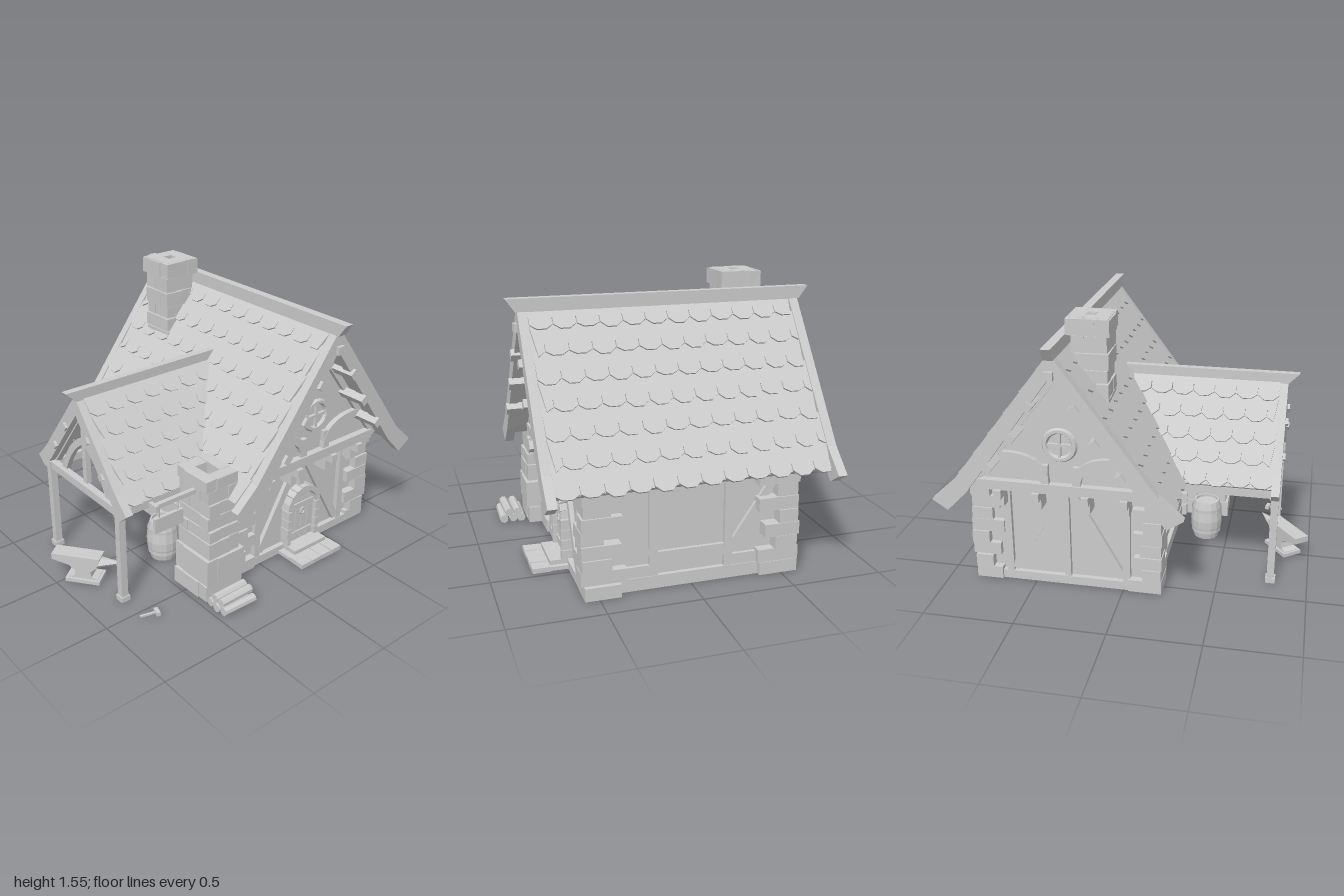
import * as THREE from 'three';

const mat = new THREE.MeshStandardMaterial({ color: 0xcccccc, flatShading: true, side: THREE.DoubleSide });
let seed = 7;
const rnd = (a) => { seed = (seed * 16807) % 2147483647; return (seed / 2147483647 - 0.5) * 2 * a; };

function add(parent, name, geo, x = 0, y = 0, z = 0) {
  const m = new THREE.Mesh(geo, mat);
  m.name = name;
  m.position.set(x, y, z);
  parent.add(m);
  return m;
}
function group(parent, name, x = 0, y = 0, z = 0) {
  const g = new THREE.Group();
  g.name = name;
  g.position.set(x, y, z);
  parent.add(g);
  return g;
}
const box = (p, n, w, h, d, x, y, z) => add(p, n, new THREE.BoxGeometry(w, h, d), x, y, z);
// straight timber lying in an upright plane at depth z
function timber(p, n, x1, y1, x2, y2, w, t, z) {
  const m = box(p, n, Math.hypot(x2 - x1, y2 - y1), w, t, (x1 + x2) / 2, (y1 + y2) / 2, z);
  m.rotation.z = Math.atan2(y2 - y1, x2 - x1);
  return m;
}
function slab(p, n, pts, depth, z) {
  const s = new THREE.Shape(pts.map(([x, y]) => new THREE.Vector2(x, y)));
  return add(p, n, new THREE.ExtrudeGeometry(s, { depth, bevelEnabled: false }), 0, 0, z);
}
const mirrored = (half) => [...half, ...half.filter(([x]) => x > 0).reverse().map(([x, y]) => [-x, y])];
// closed inverted V: outer half from the apex down, inner half from the eave up
const gableBand = (outer, inner) => [...outer, ...inner,
  ...[...inner].reverse().filter(([x]) => x > 0).map(([x, y]) => [-x, y]),
  ...[...outer].reverse().filter(([x]) => x > 0).map(([x, y]) => [-x, y])];
// curved timber following a quadratic arc
function curvedTimber(p, n, a, b, c, w, t, z) {
  const pts = new THREE.QuadraticBezierCurve(new THREE.Vector2(...a), new THREE.Vector2(...b), new THREE.Vector2(...c));
  const side = (k) => [...Array(9).keys()].map((i) => {
    const q = pts.getPoint(i / 8), d = pts.getTangent(i / 8);
    return [q.x - d.y * k, q.y + d.x * k];
  });
  return slab(p, n, [...side(w / 2), ...side(-w / 2).reverse()], t, z);
}

// one course of shingles with chamfered lower corners and thin slots between tiles
function shingleRow(len, h, pitch, offset) {
  const s = new THREE.Shape(), L = len / 2, u = (x) => Math.max(-L, Math.min(L, x));
  s.moveTo(L, h);
  s.lineTo(-L, h);
  for (let x = -L - offset; x < L - 0.004; x += pitch) {
    const j = rnd(0.006);
    for (const [f, v] of [[0.015, 0.065], [0.02, 0.026], [0.3, j], [0.7, j], [0.98, 0.026], [0.985, 0.065]])
      if (x + f * pitch > -L && x + f * pitch < L) s.lineTo(u(x + f * pitch), v);
  }
  return new THREE.ExtrudeGeometry(s, { depth: 0.014, bevelEnabled: false });
}
// shingles on the +x slope of a roof running along z; apex height, rise per run
function shingles(p, o) {
  for (let i = 0; i < o.rows; i++) {
    const y = o.y0 + i * o.step, h = Math.min(o.step * 1.2, o.apex - y), n = new THREE.Vector2(o.slope, 1).normalize();
    const at = (yy, lift) => new THREE.Vector3((o.apex - yy) / o.slope + n.x * lift, yy + n.y * lift, 0);
    const b = at(y, 0.014), t = at(y + h, 0.002), v = t.clone().sub(b), len = v.length();
    v.normalize();
    const w = new THREE.Vector3(0, 0, -1), out = new THREE.Vector3().crossVectors(w, v);
    const [z0, z1] = o.span(y + h / 2);
    const m = add(p, 'shingleRow', shingleRow(z1 - z0, len, o.pitch, (i % 2) * o.pitch / 2));
    m.quaternion.setFromRotationMatrix(new THREE.Matrix4().makeBasis(w, v, out));
    m.position.copy(b).setZ((z0 + z1) / 2);
  }
}
// hollow stack of four interlocking stones per course
function stoneStack(p, name, x, z, courses) {
  const g = group(p, name, x, 0, z);
  let y = courses.y;
  courses.list.forEach(([h, w, d, dx = 0], i) => {
    const t = 0.07, f = i % 2 ? 1 : -1;
    for (const s of [-1, 1]) {
      const a = box(g, 'stone', w - t, h - 0.006, t, dx + s * f * t / 2 + rnd(0.005), y + h / 2, s * (d - t) / 2 + rnd(0.006));
      const b = box(g, 'stone', t, h - 0.004, d - t, dx + s * (w - t) / 2 + rnd(0.006), y + h / 2, -s * f * t / 2 + rnd(0.005));
      a.rotation.y = rnd(0.03); b.rotation.y = rnd(0.03); a.rotation.z = rnd(0.02);
    }
    y += h;
  });
}

// timber framing of one gable end, facing local +z
function gableEnd(p, name, hasDoor) {
  const g = group(p, name), zw = 0.555, zg = 0.64;
  box(g, 'sill', 0.9, 0.05, 0.04, 0, 0.025, zw);
  box(g, 'jettyBeam', 0.92, 0.055, 0.06, 0, 0.628, zg);
  box(g, 'centrePost', 0.035, hasDoor ? 0.2 : 0.56, 0.035, 0, hasDoor ? 0.49 : 0.32, zw);
  for (const s of [-1, 1]) {
    box(g, 'wallPost', 0.04, 0.56, 0.035, s * 0.335, 0.32, zw);
    timber(g, 'wallBrace', s * 0.03, 0.57, s * 0.31, 0.07, 0.045, 0.03, zw);
    curvedTimber(g, 'curvedBrace', [s * 0.085, 0.65], [s * 0.085, 0.81], [s * 0.33, 0.8], 0.045, 0.035, 0.625);
    box(g, 'gablePost', 0.035, 0.12, 0.03, s * 0.085, 0.7, 0.642);
    timber(g, 'gableRafter', s * 0.5, 0.62, 0, 1.285, 0.05, 0.03, 0.642);
    for (const x of [0.135, 0.345]) {
      box(g, 'joistEnd', 0.04, 0.05, 0.16, s * x, 0.578, 0.61);
      box(g, 'joistBracket', 0.035, 0.07, 0.09, s * x, 0.52, 0.59);
    }
    for (const [x, y] of [[0.12, 1.135], [0.22, 0.955], [0.35, 0.78]])
      box(g, 'purlinEnd', 0.045, 0.045, 0.22, s * x, y, 0.69).rotation.z = -s * 0.93;
  }
  box(g, 'ridgePurlinEnd', 0.045, 0.045, 0.22, 0, 1.305, 0.69);
  // round window
  add(g, 'windowFrame', new THREE.TorusGeometry(0.08, 0.017, 6, 24), 0, 0.88, 0.645);
  add(g, 'windowPane', new THREE.CircleGeometry(0.08, 24), 0, 0.88, 0.637);
  box(g, 'windowBar', 0.15, 0.014, 0.02, 0, 0.88, 0.645);
  box(g, 'windowBar', 0.014, 0.15, 0.02, 0, 0.88, 0.645);
  if (!hasDoor) return g;
  // arched door with stone surround and steps
  const d = new THREE.Shape();
  d.moveTo(-0.095, 0.04); d.lineTo(0.095, 0.04); d.lineTo(0.095, 0.27); d.absarc(0, 0.27, 0.095, 0, Math.PI);
  add(g, 'door', new THREE.ExtrudeGeometry(d, { depth: 0.04, bevelEnabled: false }), 0, 0, 0.54);
  for (const x of [-0.047, 0, 0.047]) box(g, 'doorPlankSeam', 0.004, 0.28, 0.006, x, 0.19, 0.581);
  for (const y of [0.1, 0.29]) box(g, 'doorHinge', 0.17, 0.018, 0.01, 0, y, 0.584);
  add(g, 'doorRing', new THREE.TorusGeometry(0.018, 0.005, 6, 14), 0, 0.24, 0.59);
  for (const s of [-1, 1]) for (let i = 0; i < 4; i++)
    box(g, 'jambStone', 0.028 + rnd(0.004), 0.055, 0.07, s * 0.11, 0.07 + i * 0.058, 0.57);
  for (let i = 0; i < 9; i++) {
    const a = (i + 0.5) / 9 * Math.PI;
    box(g, 'archStone', 0.03 + rnd(0.004), 0.04, 0.07, Math.cos(a) * 0.111, 0.28 + Math.sin(a) * 0.111, 0.57).rotation.z = a;
  }
  for (let i = 0; i < 4; i++) for (let j = 0; j < 2; j++)
    box(g, 'stepStone', 0.076, 0.024 + rnd(0.004), 0.1, -0.13 + i * 0.081 + rnd(0.006), 0.012, 0.62 + j * 0.1).rotation.y = rnd(0.04);
  box(g, 'upperStep', 0.25, 0.025, 0.1, 0, 0.036, 0.62);
  return g;
}
// timber framing of one long wall, facing local +z
function longWall(p, name) {
  const g = group(p, name);
  box(g, 'sill', 0.9, 0.07, 0.04, 0, 0.035, 0.48);
  box(g, 'rail', 0.4, 0.065, 0.03, 0, 0.165, 0.48);
  box(g, 'wallPlate', 1.1, 0.05, 0.04, 0, 0.56, 0.48);
  for (const s of [-1, 1]) {
    box(g, 'wallPost', 0.045, 0.5, 0.035, s * 0.205, 0.31, 0.48);
    timber(g, 'wallBrace', s * 0.23, 0.18, s * 0.47, 0.54, 0.045, 0.03, 0.48);
    box(g, 'lowerRail', 0.2, 0.06, 0.03, s * 0.31, 0.1, 0.48);
  }
  return g;
}

export function createModel() {
  const root = new THREE.Group();
  root.name = 'timberFramedForgeHouse';
  const house = group(root, 'house', 0.316);

  // walls
  box(house, 'groundFloor', 0.95, 0.62, 1.09, 0, 0.31, 0);
  slab(house, 'gableStorey', mirrored([[0, 1.31], [0.52, 0.6]]), 1.26, -0.63);
  gableEnd(house, 'frontGable', true);
  gableEnd(house, 'backGable', false).rotation.y = Math.PI;
  longWall(house, 'leftWallFrame').rotation.y = Math.PI / 2;
  longWall(house, 'rightWallFrame').rotation.y = -Math.PI / 2;
  // corner stones, alternating long and short
  for (const sx of [-1, 1]) for (const sz of [-1, 1]) for (let i = 0; i < 8; i++) {
    const w = (i % 2 ? 0.1 : 0.17) + rnd(0.02), d = (i % 2 ? 0.22 : 0.13) + rnd(0.025) + (i ? 0 : 0.08);
    box(house, 'cornerStone', w, 0.071, d, sx * (0.535 + rnd(0.012) - w / 2), 0.0365 + i * 0.073, sz * (0.585 + rnd(0.01) - d / 2));
  }

  // main roof
  const band = gableBand([[0, 1.42], [0.545, 0.69], [0.676, 0.57]], [[0.59, 0.513], [0.48, 0.625], [0, 1.295]]);
  for (const z of [-0.78, 0.73]) slab(house, 'bargeBoard', band, 0.05, z);
  slab(house, 'roofDeck', gableBand([[0, 1.385], [0.595, 0.59]], [[0.57, 0.57], [0.5, 0.63], [0, 1.31]]), 1.48, -0.74);
  slab(house, 'ridgeCap', [[-0.84, 1.455], [-0.79, 1.385], [0.79, 1.385], [0.84, 1.455]], 0.05, -0.025).rotation.y = Math.PI / 2;
  house.getObjectByName('ridgeCap').position.set(-0.025, 0, 0);
  for (const s of [0, Math.PI]) {
    const g = group(house, 'roofShingles');
    g.rotation.y = s;
    shingles(g, { rows: 7, y0: 0.57, step: 0.12, apex: 1.385, slope: 1.335, pitch: 0.123, span: () => [-0.73, 0.73] });
  }
  stoneStack(root, 'chimney', 0.165, -0.465, { y: 0.9, list: [[0.1, 0.19, 0.2], [0.12, 0.19, 0.2], [0.08, 0.18, 0.2],
    [0.07, 0.17, 0.19], [0.09, 0.18, 0.2, -0.005], [0.09, 0.19, 0.2, 0.005], [0.09, 0.22, 0.235, 0.008], [0.003 + 0.002, 0.2, 0.2, 0.008]] });
  stoneStack(root, 'chimneyTop', 0.173, -0.465, { y: 1.455, list: [[0.088, 0.22, 0.235]] });

  // open side wing, built with its ridge along local z and turned to point to -x
  const wing = group(root, 'sideWing', 0, 0, 0.015);
  wing.rotation.y = -Math.PI / 2;
  slab(wing, 'wingBargeBoard', gableBand([[0, 1.095], [0.345, 0.665], [0.435, 0.575]], [[0.375, 0.52], [0.3, 0.6], [0, 0.985]]), 0.045, 0.775);
  slab(wing, 'wingRoofDeck', gableBand([[0, 1.075], [0.375, 0.585]], [[0.35, 0.565], [0, 1.035]]), 0.6, 0.18);
  const cap = slab(wing, 'wingRidgeCap', [[-0.88, 1.13], [-0.82, 1.07], [0.1, 1.07], [0.1, 1.13]], 0.04, 0);
  cap.rotation.y = Math.PI / 2;
  cap.position.x = -0.02;
  for (const s of [0, 1]) {
    const g = group(wing, 'wingShingles');
    if (s) g.scale.x = -1;
    shingles(g, { rows: 5, y0: 0.58, step: 0.1, apex: 1.075, slope: 1.3, pitch: 0.12,
      span: (y) => [-0.316 + (1.385 - y) / 1.335 - 0.05, 0.778] });
  }
  for (const s of [-1, 1]) {
    box(wing, 'post', 0.04, 0.54, 0.04, s * 0.34, 0.27, 0.795);
    box(wing, 'postFoot', 0.055, 0.03, 0.055, s * 0.34, 0.015, 0.795);
    box(wing, 'wallPlate', 0.045, 0.045, 0.64, s * 0.34, 0.548, 0.5);
    curvedTimber(wing, 'curvedBrace', [s * 0.22, 0.56], [s * 0.14, 0.75], [s * 0.01, 0.82], 0.04, 0.03, 0.755);
    timber(wing, 'rafter', s * 0.34, 0.57, 0, 1.01, 0.045, 0.04, 0.76);
    for (const y of [0.72, 0.88]) box(wing, 'purlinEnd', 0.035, 0.035, 0.12, s * (1.02 - y) / 1.3, y, 0.775).rotation.z = -s * 0.9;
  }
  box(wing, 'tieBeam', 0.76, 0.045, 0.04, 0, 0.548, 0.79);
  box(wing, 'kingPost', 0.035, 0.44, 0.03, 0, 0.79, 0.77);
  // latticed window in the wall under the wing
  for (const s of [-1, 1]) {
    box(root, 'windowSide', 0.03, 0.24, 0.025, -0.175, 0.32, 0.05 + s * 0.12);
    box(root, 'windowEdge', 0.03, 0.025, 0.27, -0.175, 0.32 + s * 0.12, 0.05);
    box(root, 'windowBar', 0.02, 0.22, 0.012, -0.175, 0.32, 0.05 + s * 0.04);
  }
  box(root, 'windowBar', 0.02, 0.012, 0.22, -0.175, 0.32, 0.05);

  // forge stack
  stoneStack(root, 'forgeStack', -0.345, 0.53, { y: 0, list: [[0.1, 0.25, 0.27], [0.16, 0.25, 0.28, 0.005], [0.1, 0.21, 0.26],
    [0.07, 0.2, 0.25], [0.08, 0.21, 0.24, 0.005], [0.08, 0.19, 0.24], [0.08, 0.2, 0.24], [0.07, 0.21, 0.25, -0.01]] });
  box(root, 'forgeCore', 0.12, 0.6, 0.15, -0.345, 0.3, 0.53);

  // hanging sign
  box(root, 'signBar', 0.27, 0.025, 0.025, -0.585, 0.64, 0.54);
  box(root, 'signBarEnd', 0.02, 0.035, 0.06, -0.71, 0.64, 0.54);
  box(root, 'signBoard', 0.18, 0.085, 0.02, -0.62, 0.525, 0.54);
  for (const x of [-0.68, -0.56]) add(root, 'signHook', new THREE.CylinderGeometry(0.005, 0.005, 0.07, 6), x, 0.6, 0.54);

  // log pile
  for (const [y, z] of [[0.025, 0.7], [0.025, 0.752], [0.025, 0.805], [0.066, 0.725], [0.066, 0.778]]) {
    const log = add(root, 'log', new THREE.CylinderGeometry(0.025, 0.025, 0.21, 8), -0.365 + rnd(0.01), y, z);
    log.rotation.set(rnd(0.5), rnd(0.04), Math.PI / 2);
  }

  // barrel
  const barrel = group(root, 'barrel', -0.37, 0, 0.15);
  const prof = [[0, 0], [0.075, 0], [0.092, 0.07], [0.095, 0.12], [0.088, 0.19], [0.075, 0.24], [0.065, 0.24], [0.065, 0.225], [0, 0.225]];
  add(barrel, 'staves', new THREE.LatheGeometry(prof.map(([x, y]) => new THREE.Vector2(x, y)), 14));
  for (const [y, r] of [[0.05, 0.09], [0.19, 0.091]]) add(barrel, 'hoop', new THREE.CylinderGeometry(r, r, 0.02, 14, 1, true), 0, y, 0);

  // anvil: shaped side outline, tapered horn and foot
  const anvil = group(root, 'anvil', -0.845, 0, 0.06);
  anvil.rotation.y = -0.91;
  slab(anvil, 'anvilBody', [[-0.18, 0.16], [-0.18, 0.125], [-0.08, 0.1], [-0.045, 0.07], [-0.05, 0.035], [-0.085, 0.025], [-0.085, 0],
    [0.085, 0], [0.085, 0.025], [0.05, 0.035], [0.045, 0.07], [0.08, 0.1], [0.1, 0.16]], 0.09, -0.045);
  const horn = add(anvil, 'anvilHorn', new THREE.ConeGeometry(0.045, 0.15, 8), 0.155, 0.125, 0);
  horn.rotation.z = -Math.PI / 2 + 0.12;
  horn.scale.x = 0.6;
  box(anvil, 'anvilFoot', 0.2, 0.022, 0.12, 0, 0.011, 0);

  // hammer on the ground
  const hammer = group(root, 'hammer', -0.77, 0.012, 0.557);
  hammer.rotation.y = -0.25;
  box(hammer, 'handle', 0.1, 0.01, 0.012, 0, 0, 0);
  box(hammer, 'head', 0.022, 0.022, 0.05, 0.045, 0, 0);
  return root;
}
